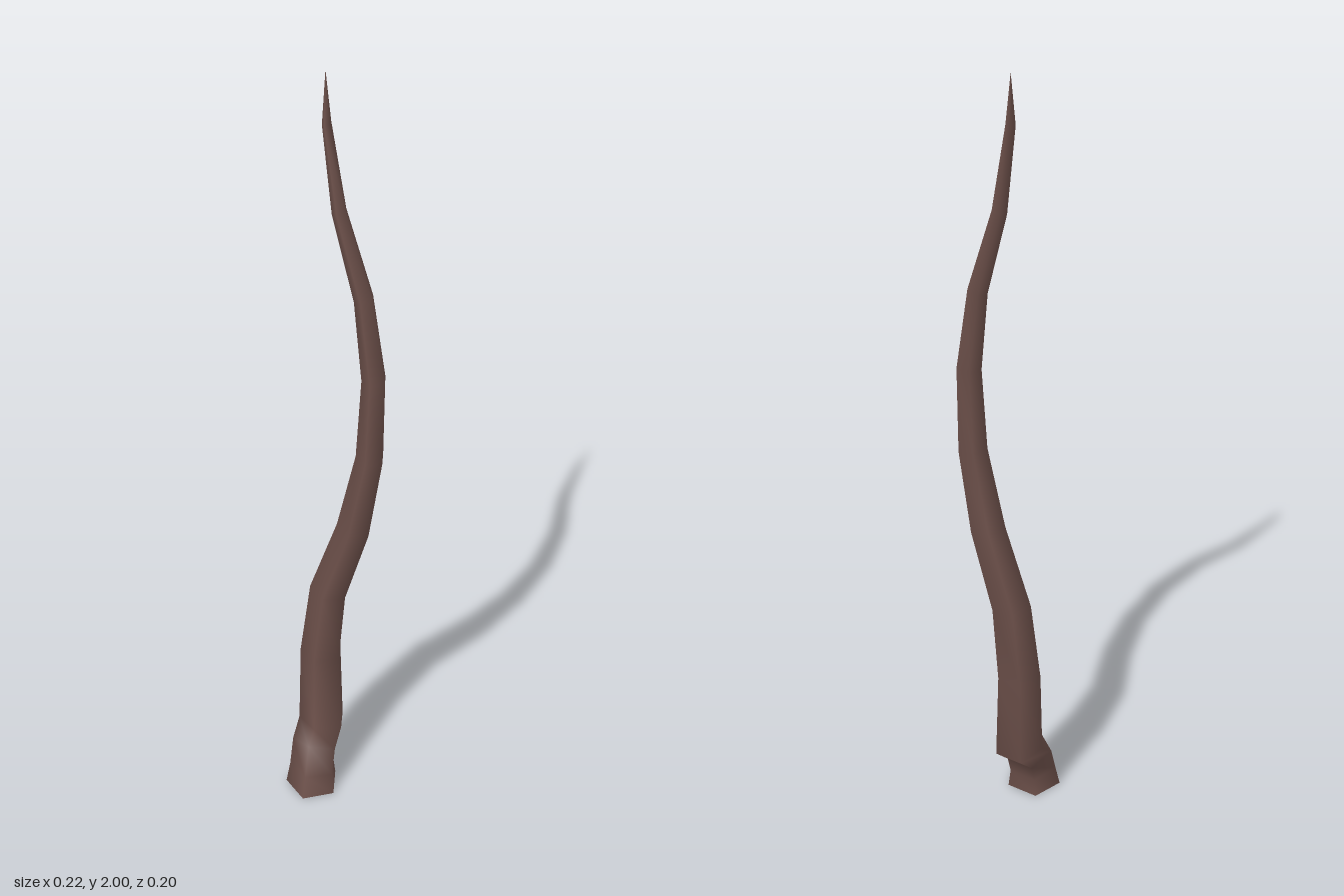
import * as THREE from 'three';

const SIDES = 5;
// Rings of the horn: left x, right x, back [y, z], front [y, z], sideways tilt
const RINGS = [
  [-0.11, 0.025, [0, -0.03], [0, 0.098], 0],
  [-0.103, 0.017, [0.05, -0.028], [0.06, 0.08], 0],
  [-0.103, 0.016, [0.1, -0.043], [0.145, 0.053], 0],
  [-0.103, 0.016, [0.155, -0.098], [0.175, 0.014], 0],
  [-0.1, 0.006, [0.4, -0.098], [0.4, 0.003], 0],
  [-0.075, 0.02, [0.605, -0.098], [0.605, -0.008], -0.005],
  [-0.005, 0.078, [0.815, -0.098], [0.815, -0.019], -0.008],
  [0.04, 0.108, [1.03, -0.098], [1.03, -0.031], -0.004],
  [0.05, 0.108, [1.25, -0.098], [1.25, -0.042], 0.003],
  [0.027, 0.072, [1.46, -0.098], [1.46, -0.053], 0.008],
  [-0.03, 0.003, [1.67, -0.098], [1.67, -0.064], 0.007],
  [-0.055, -0.036, [1.88, -0.098], [1.88, -0.071], 0.003],
  [-0.053, -0.053, [2, -0.098], [2, -0.098], 0],
];

// Corners of one pentagonal ring, with a point towards the front
function ringPoints([left, right, back, front, tilt]) {
  const points = [];
  for (let j = 0; j < SIDES; j++) {
    const a = (j / SIDES) * Math.PI * 2;
    const s = Math.sin(a) / 0.951;
    const t = (Math.cos(a) + 0.809) / 1.809;
    points.push(
      (left + right) / 2 + ((right - left) / 2) * s,
      THREE.MathUtils.lerp(back[0], front[0], t) + tilt * s,
      THREE.MathUtils.lerp(back[1], front[1], t)
    );
  }
  return points;
}

function buildGeometry(positions, index) {
  const geometry = new THREE.BufferGeometry();
  geometry.setAttribute('position', new THREE.Float32BufferAttribute(positions, 3));
  geometry.setIndex(index);
  geometry.computeVertexNormals();
  return geometry;
}

export function createModel() {
  const group = new THREE.Group();
  group.name = 'curvedHorn';
  const material = new THREE.MeshStandardMaterial({ color: 0x6b4f49 });

  // Tapering, winding shaft skinned over the rings
  const index = [];
  for (let i = 0; i < RINGS.length - 1; i++) {
    for (let j = 0; j < SIDES; j++) {
      const a = i * SIDES + j;
      const b = i * SIDES + ((j + 1) % SIDES);
      index.push(a, b, a + SIDES);
      if (i < RINGS.length - 2) index.push(b, b + SIDES, a + SIDES);
    }
  }
  const shaft = new THREE.Mesh(buildGeometry(RINGS.flatMap(ringPoints), index), material);
  shaft.name = 'shaft';
  group.add(shaft);

  // Flat underside, with its own corners for a sharp rim
  const capIndex = [];
  for (let j = 1; j < SIDES - 1; j++) capIndex.push(0, j + 1, j);
  const cap = new THREE.Mesh(buildGeometry(ringPoints(RINGS[0]), capIndex), material);
  cap.name = 'baseCap';
  group.add(cap);

  return group;
}
